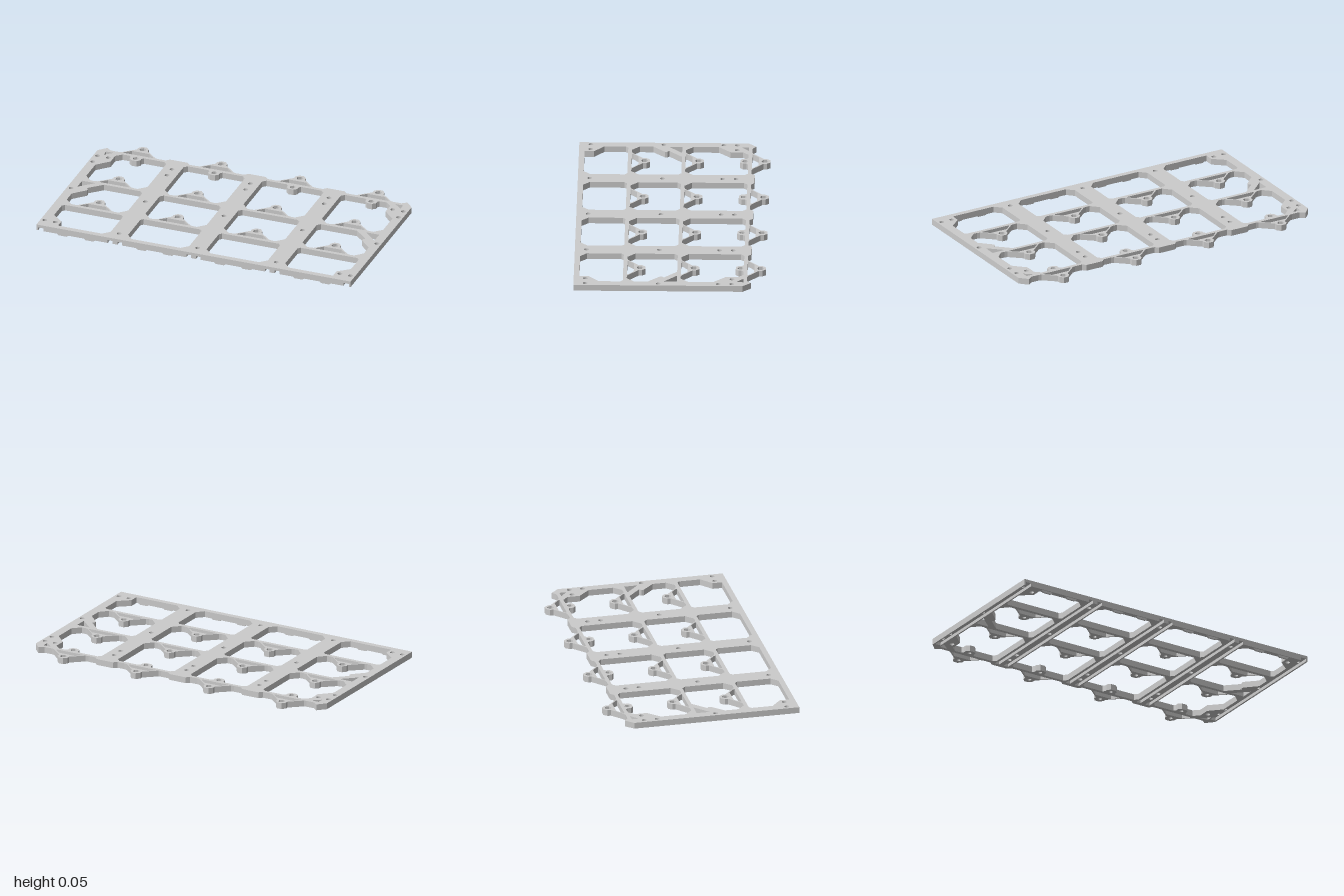
import * as THREE from 'three';

const BOTTOM = 0.013, SPLIT = 0.032, TOP = 0.05;
const FRONT = 0.57;

// Plan points are [x, z]; the shape plane uses y = -z. Loops always run anticlockwise.
const loop = pts => {
  const vecs = pts.map(([x, z]) => new THREE.Vector2(x, -z));
  return THREE.ShapeUtils.isClockWise(vecs) ? vecs.reverse() : vecs;
};
const mirror = pts => pts.map(([x, z]) => [-x, z]);
const shift = (pts, dx, dz) => pts.map(([x, z]) => [x + dx, z + dz]);
const ngon = (n, r, x, z, start = 0) => Array.from({ length: n }, (_, i) => {
  const a = start + i * Math.PI * 2 / n;
  return [x + r * Math.cos(a), z + r * Math.sin(a)];
});

export function createModel() {
  const model = new THREE.Group();
  const material = new THREE.MeshStandardMaterial({ color: 0xcccccc, flatShading: true });

  const slab = (name, outline, holes, y0, y1) => {
    const shape = new THREE.Shape(loop(outline));
    shape.holes = holes.map(pts => new THREE.Path(loop(pts).reverse()));
    const geometry = new THREE.ExtrudeGeometry(shape, { depth: y1 - y0, bevelEnabled: false });
    geometry.rotateX(-Math.PI / 2).translate(0, y0, 0);
    const mesh = new THREE.Mesh(geometry, material);
    mesh.name = name;
    model.add(mesh);
  };

  // Back edge: clipped corners and a raised shoulder at each column
  const backEdge = [[-1, -0.435], [-0.955, -0.483], [-0.925, -0.46]];
  for (const c of [-0.5, 0, 0.5]) {
    backEdge.push([c - 0.075, -0.46], [c - 0.055, -0.48], [c + 0.055, -0.48], [c + 0.075, -0.46]);
  }
  backEdge.push([0.925, -0.46], [0.955, -0.483], [1, -0.435]);

  // Windows: chamfered openings, b = back chamfer, f = front chamfer
  const innerCell = (z0, z1, b, f) => [
    [-0.445 + b, z0], [-0.055 - b, z0], [-0.055, z0 + b], [-0.055, z1 - f],
    [-0.055 - f, z1], [-0.445 + f, z1], [-0.445, z1 - f], [-0.445, z0 + b]];
  const outerCell = (z0, z1, b, f, outerSide) => [
    ...outerSide, [-0.555 - b, z0], [-0.555, z0 + b], [-0.555, z1 - f], [-0.555 - f, z1]];
  const half = [
    innerCell(-0.438, -0.065, 0.02, 0.045),
    innerCell(-0.043, 0.255, 0.02, 0.045),
    innerCell(0.278, 0.537, 0.015, 0.04),
    outerCell(-0.438, -0.065, 0.02, 0.045, [[-0.9, -0.065], [-0.945, -0.11], [-0.945, -0.26],
      [-0.875, -0.33], [-0.875, -0.405], [-0.84, -0.438]]),
    outerCell(-0.043, 0.255, 0.02, 0.045, [[-0.9, 0.255], [-0.945, 0.21], [-0.945, 0.13],
      [-0.875, 0.06], [-0.875, 0.045], [-0.886, 0.034], [-0.805, -0.043]]),
    outerCell(0.278, 0.537, 0.015, 0.04, [[-0.875, 0.537], [-0.875, 0.48], [-0.945, 0.42],
      [-0.945, 0.293], [-0.93, 0.278]]),
    // small corner openings beside the diagonal braces
    [[-0.945, -0.438], [-0.895, -0.438], [-0.945, -0.396]],
    [[-0.945, -0.043], [-0.86, -0.043], [-0.945, 0.037]],
  ];
  const windows = [...half, ...half.map(mirror)];

  // Screw holes
  const hole = (x, z) => ngon(16, 0.0145, x, z);
  const rows = [-0.37, -0.29, 0.067, 0.5];
  const columnHoles = [-0.5, 0, 0.5].flatMap(x => rows.map(z => hole(x, z)));
  const padHoles = [-0.905, 0.905].flatMap(x => [-0.37, 0.5].map(z => hole(x, z)));
  const edgeHoles = [-0.973, 0.973].flatMap(x => rows.map(z => hole(x, z)));

  slab('framePlate', [...backEdge, [1, FRONT], [-1, FRONT]],
    [...windows, ...columnHoles, ...padHoles, ...edgeHoles], SPLIT, TOP);

  // Lower layer, with channels under the columns and sides, open at the front
  const channels = [[-0.99, -0.954, -0.42]];
  for (const c of [-0.5, 0, 0.5]) {
    channels.push([c - 0.046, c - 0.016, -0.455], [c + 0.016, c + 0.046, -0.455]);
  }
  channels.push([0.954, 0.99, -0.42]);
  const frontEdge = [[-1, FRONT]];
  for (const [x0, x1, z] of channels) frontEdge.push([x0, FRONT], [x0, z], [x1, z], [x1, FRONT]);
  frontEdge.push([1, FRONT]);
  slab('channelledUnderside', [...backEdge, ...frontEdge.reverse()],
    [...windows, ...columnHoles, ...padHoles], BOTTOM, SPLIT);

  // Braced ears with hex-pocketed hubs, behind every cross rail
  const ear = [
    [-0.125, 0], [-0.108, -0.004], [-0.034, -0.069], [-0.034, -0.088], [-0.015, -0.11],
    [0.015, -0.11], [0.034, -0.088], [0.034, -0.069], [0.108, -0.004], [0.125, 0],
    [0.094, 0], [0.09, -0.01], [0.055, -0.04], [-0.055, -0.04], [-0.09, -0.01], [-0.094, 0]];
  const collar = (x, z, r) =>
    slab('hubSeat', ngon(6, r, x, z, Math.PI / 6), [ngon(16, 0.012, x, z)], BOTTOM, SPLIT);
  const cellCentres = [-0.75, -0.25, 0.25, 0.75];
  for (const x of cellCentres) {
    for (const z of [-0.46, -0.065, 0.255]) {
      const hubZ = z - 0.077;
      slab('hubEar', shift(ear, x, z), [ngon(6, 0.021, x, hubZ, Math.PI / 6)], BOTTOM, TOP);
      collar(x, hubZ, 0.021);
    }
    // second hub on the inner side of the back rail
    const lug = [[-0.045, 0], [0.045, 0], [0.034, 0.012], [0.034, 0.032],
      [0.016, 0.048], [-0.016, 0.048], [-0.034, 0.032], [-0.034, 0.012]];
    slab('innerHub', shift(lug, x, -0.438), [ngon(6, 0.018, x, -0.419, Math.PI / 6)], BOTTOM, TOP);
    collar(x, -0.419, 0.018);
  }

  // Tapered locating tabs under the front rail
  const tab = new THREE.Shape(
    [[-0.04, BOTTOM], [-0.026, 0], [0.026, 0], [0.04, BOTTOM]].map(p => new THREE.Vector2(...p)));
  const tabGeometry = new THREE.ExtrudeGeometry(tab, { depth: 0.011, bevelEnabled: false });
  for (const c of cellCentres) {
    for (const side of [-1, 1]) {
      const mesh = new THREE.Mesh(tabGeometry, material);
      mesh.name = 'frontTab';
      mesh.position.set(c + side * 0.085, 0, 0.552);
      model.add(mesh);
    }
  }
  return model;
}
